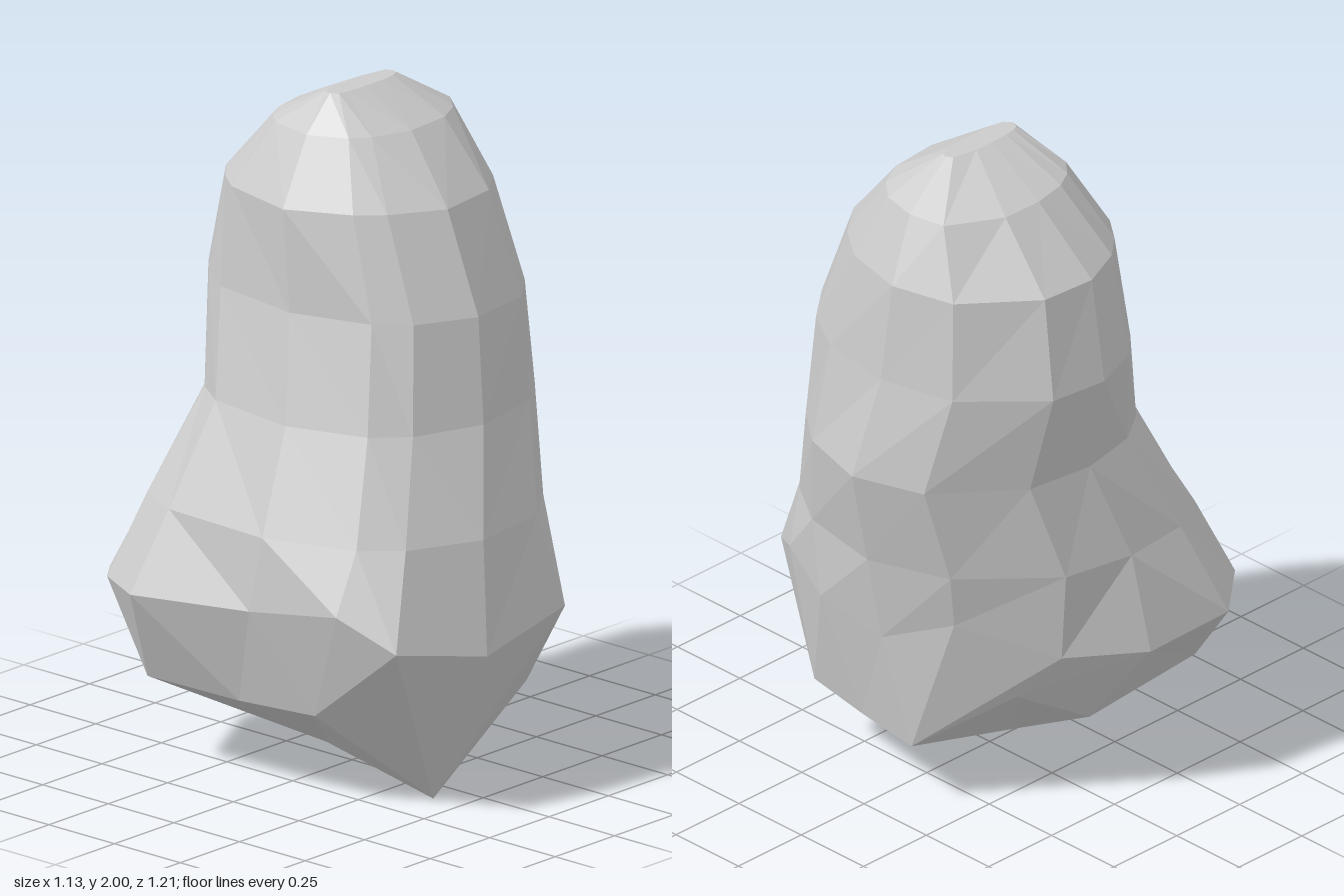
import * as THREE from 'three';

// Widest contour, front -> +x -> back -> -x
const BASE = [
  [-0.1, 0.47, 0.605], [0.25, 0.53, 0.585], [0.39, 0.63, 0.41], [0.455, 0.57, 0.22],
  [0.46, 0.54, -0.03], [0.38, 0.63, -0.24], [0.16, 0.52, -0.45], [-0.07, 0.5, -0.575],
  [-0.35, 0.53, -0.605], [-0.49, 0.56, -0.49], [-0.57, 0.56, -0.33], [-0.5, 0.58, 0.06],
  [-0.465, 0.62, 0.36], [-0.4, 0.53, 0.53],
];

// Chipped underside corners, one per contour point
const UNDER = [
  [-0.1, 0, 0.4], [0.37, 0.22, 0.33], [0.37, 0.22, 0.33], [0.4, 0.21, 0.11],
  [0.42, 0.2, -0.11], [0.42, 0.2, -0.11], [0.22, 0.37, -0.33], [-0.03, 0.22, -0.37],
  [-0.43, 0.27, -0.39], [-0.43, 0.27, -0.39], [-0.43, 0.27, -0.39], [-0.42, 0.27, -0.05],
  [-0.4, 0.28, 0.22], [-0.4, 0.28, 0.22],
];

// Upper cross-sections: height, x min, x max, z min, z max, and the squareness
// of the corners in the order front left, back left, back right, front right
const SECTIONS = [
  [0.8, -0.48, 0.5, -0.52, 0.57, [1.95, 1.8, 3.6, 2.1]],
  [1.1, -0.36, 0.565, -0.45, 0.48, [1.7, 1.95, 2.5, 2.3]],
  [1.41, -0.29, 0.5, -0.52, 0.45, [2, 2.1, 2.1, 2.1]],
  [1.71, -0.29, 0.47, -0.46, 0.35, [1.8, 2.2, 1.8, 1.65]],
  [1.9, -0.17, 0.38, -0.27, 0.175, [2.1, 3, 2.3, 2]],
  [2, -0.07, 0.2, -0.06, 0.01, [3, 3, 3, 3]],
];

// Rounded-square ring that keeps the directions of the base contour
function ring([y, x0, x1, z0, z1, corners]) {
  const cx = (x0 + x1) / 2, cz = (z0 + z1) / 2;
  return BASE.map(([bx, , bz]) => {
    const a = Math.atan2(bx, bz), s = Math.sin(a), c = Math.cos(a);
    const n = corners[s > 0 ? (c > 0 ? 0 : 1) : (c > 0 ? 3 : 2)];
    const r = (Math.abs(s) ** n + Math.abs(c) ** n) ** (-1 / n);
    return [cx + s * r * (x1 - x0) / 2, y, cz + c * r * (z1 - z0) / 2];
  });
}

// Skin a stack of rings with mirrored diagonals, closing both ends with fans
function skin(rings, bottom, top) {
  const p = [], n = rings[0].length, last = rings[rings.length - 1];
  for (let i = 0; i < n; i++) {
    const j = (i + 1) % n;
    for (let k = 0; k + 1 < rings.length; k++) {
      const lo = rings[k], hi = rings[k + 1];
      if (i < n / 2) p.push(...lo[i], ...lo[j], ...hi[j], ...lo[i], ...hi[j], ...hi[i]);
      else p.push(...lo[i], ...lo[j], ...hi[i], ...lo[j], ...hi[j], ...hi[i]);
    }
    p.push(...rings[0][j], ...rings[0][i], ...bottom);
    p.push(...last[i], ...last[j], ...top);
  }
  const g = new THREE.BufferGeometry();
  g.setAttribute('position', new THREE.Float32BufferAttribute(p, 3));
  g.computeVertexNormals();
  return g;
}

export function createModel() {
  const group = new THREE.Group();
  group.name = 'rock';
  const material = new THREE.MeshStandardMaterial({ color: 0xcccccc, flatShading: true });
  const rings = [UNDER, BASE, ...SECTIONS.map(ring)];
  const stone = new THREE.Mesh(skin(rings, [-0.04, 0.05, -0.06], [0.07, 2, -0.025]), material);
  stone.name = 'boulder';
  group.add(stone);
  return group;
}
